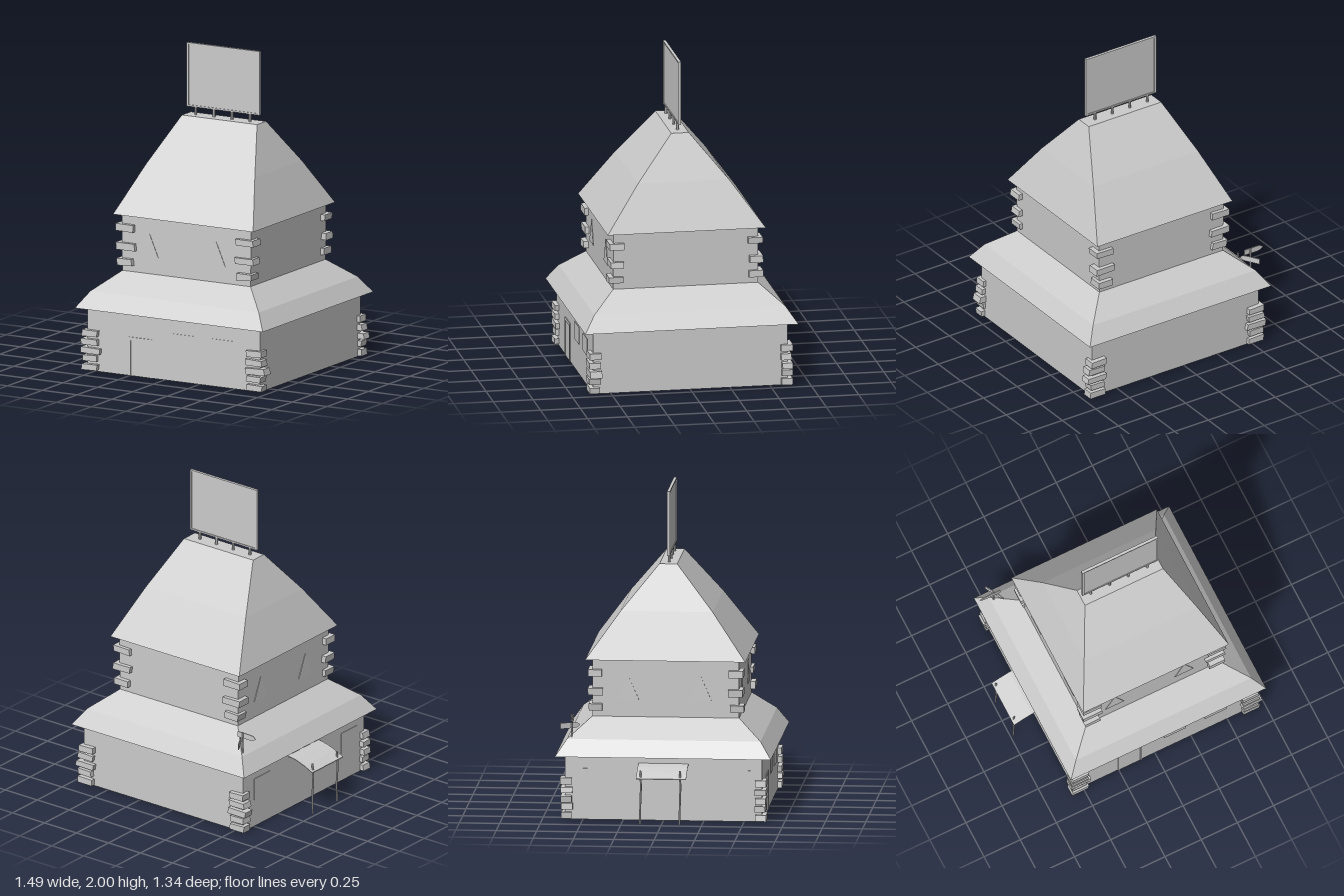
import * as THREE from 'three';

const CX = 0.065; // middle of the house in x
const grey = new THREE.MeshStandardMaterial({ color: 0xcccccc, flatShading: true });
const thin = new THREE.MeshStandardMaterial({ color: 0xcccccc, flatShading: true, side: THREE.DoubleSide });

let seed = 7;
function jitter(a) {
  seed = (seed * 16807) % 2147483647;
  return (seed / 2147483647 - 0.5) * 2 * a;
}

function add(parent, name, geometry, x = 0, y = 0, z = 0, material = grey) {
  const mesh = new THREE.Mesh(geometry, material);
  mesh.name = name;
  mesh.position.set(x, y, z);
  parent.add(mesh);
  return mesh;
}

const box = (w, h, d) => new THREE.BoxGeometry(w, h, d);

// Joins rectangular rings [half width, y, half depth] into a four-sided shell
function shell(rings, capped) {
  const corners = [[1, 1], [1, -1], [-1, -1], [-1, 1]];
  const point = ([hx, y, hz], k) => [hx * corners[k % 4][0], y, hz * corners[k % 4][1]];
  const pos = [];
  for (let i = 0; i < rings.length - 1; i++) {
    for (let k = 0; k < 4; k++) {
      const a = point(rings[i], k), b = point(rings[i], k + 1);
      const c = point(rings[i + 1], k + 1), d = point(rings[i + 1], k);
      pos.push(...a, ...b, ...c, ...a, ...c, ...d);
    }
  }
  if (capped) {
    const [a, b, c, d] = [0, 1, 2, 3].map((k) => point(rings[rings.length - 1], k));
    pos.push(...a, ...b, ...c, ...a, ...c, ...d);
  }
  const g = new THREE.BufferGeometry();
  g.setAttribute('position', new THREE.Float32BufferAttribute(pos, 3));
  g.computeVertexNormals();
  return g;
}

function extrude(points, depth) {
  const shape = new THREE.Shape(points.map(([x, y]) => new THREE.Vector2(x, y)));
  const g = new THREE.ExtrudeGeometry(shape, { depth, bevelEnabled: false });
  return g.translate(0, 0, -depth / 2);
}

// Roughly hewn block with slightly uneven ends
function logBlock(w, h, d) {
  const g = box(w, h, d);
  const p = g.attributes.position;
  const left = jitter(0.1), right = jitter(0.1), skew = jitter(0.004);
  for (let i = 0; i < p.count; i++) {
    const s = Math.sign(p.getX(i));
    p.setY(i, p.getY(i) * (1 + (s > 0 ? right : left)));
    p.setX(i, p.getX(i) + Math.sign(p.getY(i)) * skew);
  }
  g.computeVertexNormals();
  return g;
}

function cornerLogs(parent, name, hx, hz, rows, h, d) {
  for (const sx of [-1, 1]) for (const sz of [-1, 1]) {
    const stack = new THREE.Group();
    stack.name = name;
    stack.position.set(CX + sx * hx, 0, sz * hz);
    for (const [y, w] of rows) {
      const log = add(stack, 'log', logBlock(w, h, d + jitter(0.006)), jitter(0.006), y, jitter(0.005));
      log.rotation.z = jitter(0.03);
    }
    parent.add(stack);
  }
}

// Pole with a slight natural bend
function pole(h, r, bend) {
  const path = new THREE.CatmullRomCurve3([0, 0.35, 0.7, 1].map((t, i) =>
    new THREE.Vector3(i % 2 ? bend : 0, t * h, i === 2 ? bend : 0)));
  return new THREE.TubeGeometry(path, 8, r, 6);
}

export function createModel() {
  const model = new THREE.Group();
  model.name = 'cabin';

  // Walls and roofs
  add(model, 'lowerWalls', shell([[0.62, 0, 0.61], [0.62, 0.4, 0.61]]), CX, 0, 0, thin);
  add(model, 'lowerRoof', shell([[0.62, 0.4, 0.61], [0.675, 0.398, 0.67], [0.605, 0.5, 0.6],
    [0.46, 0.62, 0.455]]), CX, 0, 0, thin);
  add(model, 'upperWalls', shell([[0.46, 0.62, 0.455], [0.465, 0.98, 0.455]]), CX, 0, 0, thin);
  add(model, 'upperRoof', shell([[0.465, 0.98, 0.455], [0.503, 0.978, 0.497], [0.39, 1.27, 0.285],
    [0.27, 1.548, 0.055]], true), CX, 0, 0, thin);

  // Interlocking log ends at the corners
  cornerLogs(model, 'lowerCornerLogs', 0.592, 0.602,
    [[0.026, 0.11], [0.082, 0.1], [0.13, 0.135], [0.185, 0.115], [0.24, 0.108]], 0.038, 0.07);
  cornerLogs(model, 'upperCornerLogs', 0.428, 0.438,
    [[0.68, 0.105], [0.777, 0.132], [0.896, 0.124]], 0.042, 0.088);

  // Door with a frame
  const door = new THREE.Group();
  door.name = 'door';
  door.position.set(-0.172, 0, 0.61);
  add(door, 'doorPanel', box(0.14, 0.225, 0.006), 0, 0.113, 0);
  for (const s of [-1, 1]) add(door, 'doorJamb', box(0.013, 0.245, 0.01), s * 0.076, 0.1225, 0);
  add(door, 'doorLintel', box(0.139, 0.02, 0.01), 0, 0.235, 0);
  model.add(door);

  // Windows, lower rectangular and upper triangular
  const triangle = extrude([[-0.065, -0.075], [0.065, -0.075], [0, 0.075]], 0.006);
  for (const x of [0.14, 0.42]) add(model, 'frontWindow', box(0.15, 0.11, 0.006), x, 0.245, 0.61);
  for (const z of [-0.42, 0.46]) add(model, 'sideWindow', box(0.008, 0.14, 0.16), -0.555, 0.25, z);
  for (const x of [-0.2, 0.28]) add(model, 'frontTriangleWindow', triangle, x, 0.8, 0.455);
  for (const z of [-0.23, 0.22]) {
    add(model, 'sideTriangleWindow', triangle, -0.398, 0.8, z).rotation.y = -Math.PI / 2;
  }

  // Awning on two crooked poles
  const awning = [[-0.745, 0.293], [-0.685, 0.322], [-0.62, 0.345], [-0.55, 0.358]];
  const under = awning.map(([x, y]) => [x, y - 0.005]);
  add(model, 'awning', extrude([...under, ...awning.reverse()], 0.31));
  for (const z of [-0.13, 0.115]) add(model, 'awningPole', pole(0.34, 0.006, 0.004), -0.73, 0.003, z);

  // Signpost with two pointed boards
  const signpost = new THREE.Group();
  signpost.name = 'signpost';
  signpost.position.set(-0.523, 0, -0.572);
  add(signpost, 'signpostPole', pole(0.18, 0.006, 0.002), 0, 0.475, 0);
  const arrow = (w) => extrude([[-w * 0.35, -0.018], [w, -0.018], [w, 0.018], [-w * 0.35, 0.018],
    [-w * 0.65, 0.016], [-w, 0], [-w * 0.65, -0.016]], 0.006);
  add(signpost, 'upperBoard', arrow(0.07), -0.028, 0.627, 0.008);
  add(signpost, 'lowerBoard', arrow(0.068), 0.014, 0.58, -0.01).rotation.y = Math.PI * 0.67;
  model.add(signpost);

  // Blank billboard on the roof ridge
  const billboard = new THREE.Group();
  billboard.name = 'billboard';
  billboard.position.set(0.0625, 1.798, 0);
  add(billboard, 'panel', box(0.51, 0.39, 0.008));
  for (const s of [-1, 1]) {
    add(billboard, 'frameSide', box(0.014, 0.404, 0.018), s * 0.255, 0, 0);
    add(billboard, 'frameRail', box(0.496, 0.01, 0.018), 0, s * 0.197, 0);
  }
  for (const x of [-0.2, -0.07, 0.06, 0.19]) {
    add(billboard, 'billboardPost', new THREE.CylinderGeometry(0.009, 0.009, 0.06, 8), x, -0.225, 0);
  }
  model.add(billboard);

  return model;
}
